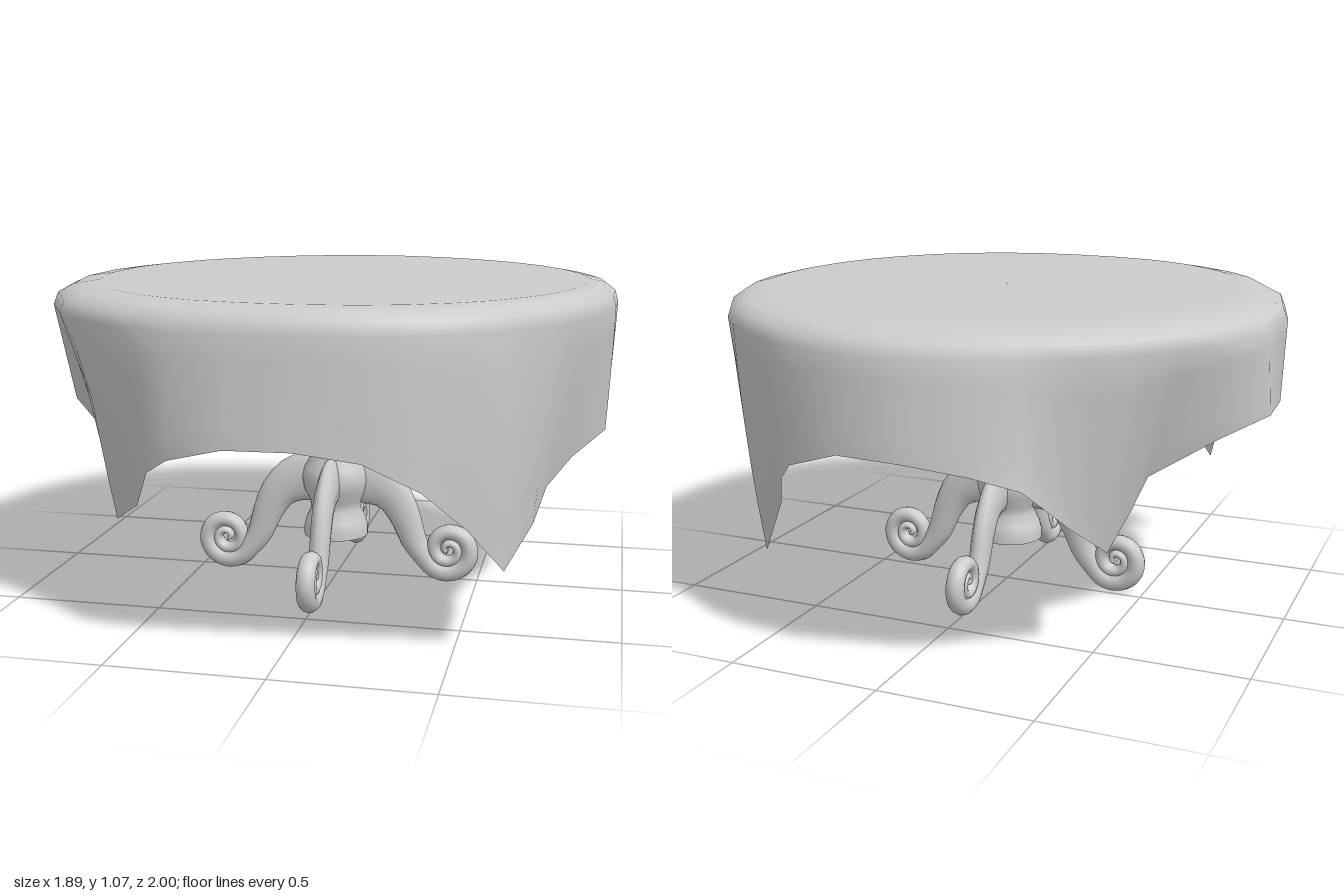
import * as THREE from 'three';

const grey = new THREE.MeshStandardMaterial({ color: 0xcccccc });
const clothGrey = new THREE.MeshStandardMaterial({ color: 0xcccccc, side: THREE.DoubleSide });

// Hem of the cloth, counted round from the left side: x, y, z
const HEM = [
  [.92, .61, -.05], [.92, .59, .12], [.82, .53, .28], [.75, .46, .40], [.72, .38, .55], [.65, .28, .72],
  [.55, .42, .80], [.43, .55, .90], [.27, .64, .96], [.08, .67, .99], [-.12, .67, 1.0],
  [-.30, .62, .95], [-.39, .56, .87], [-.46, .43, .77], [-.57, .35, .66], [-.61, .48, .58],
  [-.66, .60, .52], [-.82, .67, .36], [-.93, .72, .10], [-.95, .73, -.15], [-.83, .68, -.30],
  [-.64, .57, -.42], [-.61, .48, -.48], [-.56, .36, -.56], [-.49, .47, -.70], [-.42, .63, -.90],
  [-.28, .67, -.95], [-.10, .70, -1.0], [.12, .70, -.98], [.32, .63, -.91], [.42, .55, -.80],
  [.51, .42, -.67], [.62, .22, -.60], [.69, .34, -.48], [.77, .47, -.35], [.88, .57, -.20],
];

// Joins equal rings of points into a skin; closed round each ring
function skin(rings) {
  const n = rings[0].length, index = [];
  for (let r = 0; r < rings.length - 1; r++) {
    for (let i = 0; i < n; i++) {
      const a = r * n + i, b = r * n + (i + 1) % n, c = a + n, d = b + n;
      index.push(a, b, c, b, d, c);
    }
  }
  const geo = new THREE.BufferGeometry().setFromPoints(rings.flat());
  geo.setIndex(index);
  geo.computeVertexNormals();
  return geo;
}

// Cloth: flat top, rim softer at the back right, then a drop to the uneven hem
function makeCloth() {
  const angles = HEM.map(([x, , z]) => Math.atan2(z, x));
  const rim = angles.map(a => {
    const r = 1 + 0.03 * Math.abs(Math.sin(2 * a)) * Math.sin(a);
    return new THREE.Vector3(0.945 * r * Math.cos(a), 0.99, 0.97 * r * Math.sin(a));
  });
  const topRings = [[0.001, 1.07], [0.45, 1.07], [0.86, 1.068], [0.94, 1.055], [0.985, 1.03]];
  const rings = topRings.map(([s, y]) => rim.map((p, i) => {
    const softness = 1 - 0.25 * (Math.cos(angles[i]) + Math.sin(angles[i]));
    const k = s < 0.5 ? s : 1 - (1 - s) * softness;
    return new THREE.Vector3(p.x * k, y, p.z * k);
  }));
  for (const t of [0, 0.2, 0.4, 0.6, 0.8, 1]) {
    rings.push(rim.map((p, i) => {
      const v = p.clone().lerp(new THREE.Vector3(...HEM[i]), t);
      const bulge = 1 + 0.12 * t * (1 - t) * Math.max(0, 0.65 - HEM[i][1]);
      return v.multiply(new THREE.Vector3(bulge, 1, bulge));
    }));
  }
  return skin(rings);
}

// Turned column with a flange under the top, radius and height from the foot up
function makeColumn() {
  const profile = [
    [0, .155], [.113, .155], [.113, .155], [.113, .185], [.105, .215], [.088, .25], [.092, .28], [.113, .32],
    [.12, .36], [.112, .40], [.09, .435], [.088, .455], [.108, .475], [.11, .53], [.09, .56],
    [.08, .60], [.085, .66], [.095, .75], [.13, .84], [.20, .89], [.235, .92], [.24, .97], [.25, 1.05],
  ];
  return new THREE.LatheGeometry(profile.map(p => new THREE.Vector2(...p)), 24);
}

// Leg: S-curve running into a spiral scroll, oval in section
function makeLeg() {
  const path = [[.04, .36, .09], [.13, .35, .088], [.205, .30, .066], [.25, .22, .054], [.28, .14, .046]];
  const steps = 30;
  for (let i = 0; i <= steps; i++) {
    const t = i / steps, a = 3.6 + t * Math.PI * 4.2, r = 0.084 * (1 - t) + 0.006;
    path.push([.402 + r * Math.cos(a), .118 + r * Math.sin(a), .036 - .028 * t]);
  }
  const curve = new THREE.CatmullRomCurve3(path.map(p => new THREE.Vector3(p[0], p[1], 0)));
  const rings = [], sides = 12, cuts = 80;
  for (let k = 0; k <= cuts; k++) {
    const t = k / cuts, f = t * (path.length - 1), i = Math.min(Math.floor(f), path.length - 2);
    const h = THREE.MathUtils.lerp(path[i][2], path[i + 1][2], f - i);
    const w = 0.036 - 0.012 * t;
    const p = curve.getPoint(t), d = curve.getTangent(t);
    rings.push(Array.from({ length: sides }, (_, s) => {
      const a = s / sides * Math.PI * 2, u = h * Math.cos(a);
      return new THREE.Vector3(p.x - d.y * u, p.y + d.x * u, w * Math.sin(a));
    }));
  }
  // Close the scroll's inner end
  const end = curve.getPoint(1);
  rings.push(rings[0].map(() => end.clone()));
  return skin(rings);
}

export function createModel() {
  const model = new THREE.Group();
  model.name = 'clothedTable';
  const add = (parent, name, geo, mat) => {
    const mesh = new THREE.Mesh(geo, mat);
    mesh.name = name;
    parent.add(mesh);
    return mesh;
  };
  add(model, 'tablecloth', makeCloth(), clothGrey);

  // Pedestal, set slightly forward under the cloth
  const pedestal = new THREE.Group();
  pedestal.name = 'pedestal';
  pedestal.position.z = 0.03;
  model.add(pedestal);
  add(pedestal, 'column', makeColumn(), grey);
  const leg = makeLeg();
  ['leftLeg', 'frontLeg', 'rightLeg', 'backLeg'].forEach((name, i) => {
    add(pedestal, name, leg, grey).rotation.y = -i * Math.PI / 2;
  });
  return model;
}
